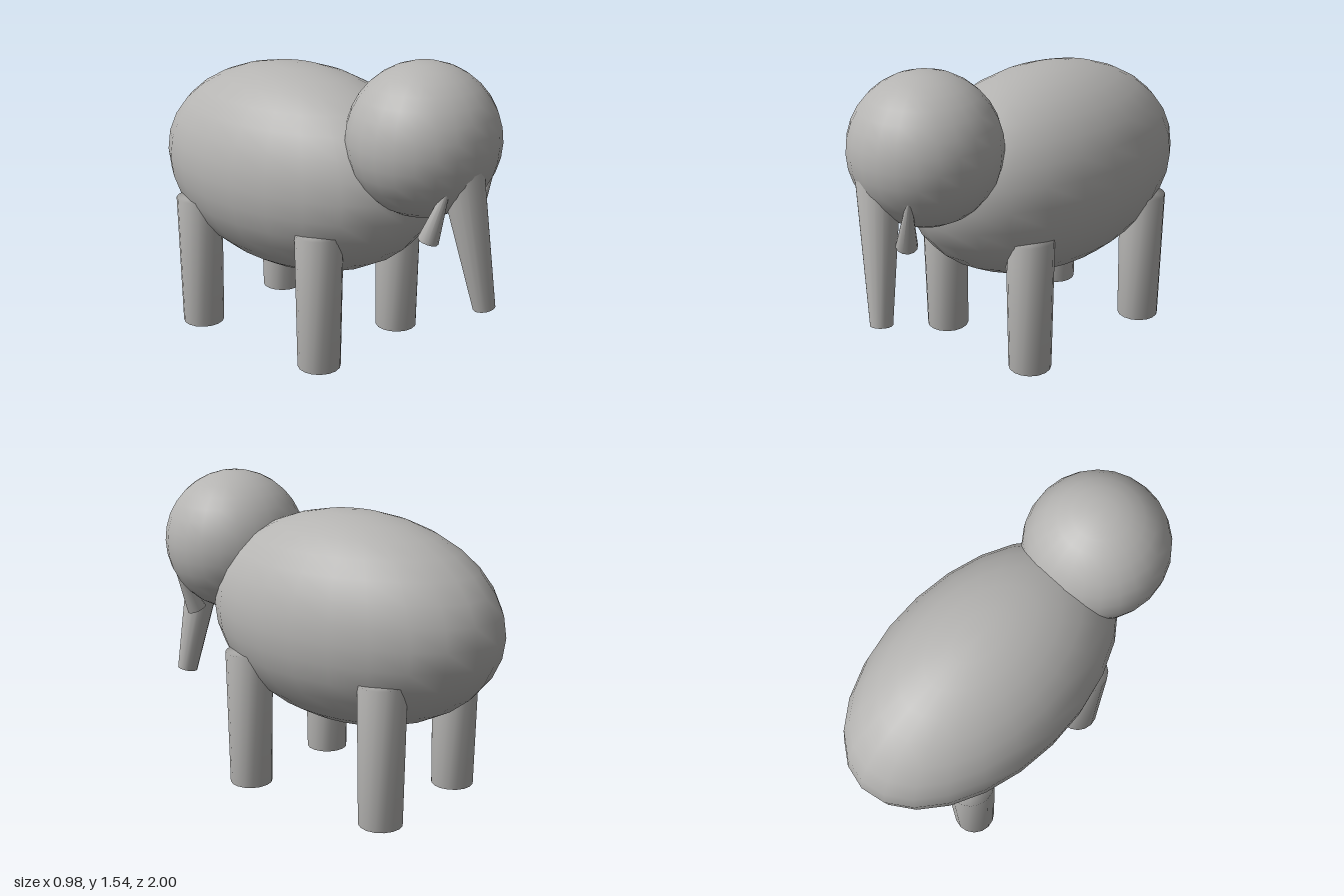
import * as THREE from 'three';
import { mergeVertices } from 'three/addons/utils/BufferGeometryUtils.js';

export function createModel() {
  const model = new THREE.Group();
  const grey = new THREE.MeshStandardMaterial({ color: 0xb5b4b2 });
  grey.name = 'grey skin';

  function add(name, geometry) {
    const mesh = new THREE.Mesh(geometry, grey);
    mesh.name = name;
    model.add(mesh);
    return mesh;
  }

  // Tapered limb from a base point to a top point, shaded softly over its rims
  function limb(name, base, top, baseRadius, topRadius, sides) {
    const a = new THREE.Vector3(...base);
    const b = new THREE.Vector3(...top);
    const axis = b.clone().sub(a);
    const tapered = new THREE.CylinderGeometry(topRadius, baseRadius, axis.length(), sides);
    tapered.deleteAttribute('normal');
    tapered.deleteAttribute('uv');
    const smooth = mergeVertices(tapered);
    smooth.computeVertexNormals();
    const mesh = add(name, smooth);
    mesh.position.copy(a).add(b).multiplyScalar(0.5);
    mesh.quaternion.setFromUnitVectors(new THREE.Vector3(0, 1, 0), axis.normalize());
  }

  // Egg-shaped body and round head
  const body = add('body', new THREE.SphereGeometry(1, 24, 16));
  body.scale.set(0.491, 0.531, 0.82);
  body.position.set(0, 0.885, -0.18);
  const head = add('head', new THREE.SphereGeometry(0.367, 24, 16));
  head.position.set(0, 1.173, 0.605);

  // Four straight legs, slightly wider at the top
  for (const [end, z] of [['front', 0.235], ['back', -0.588]]) {
    for (const [side, x] of [['Left', 0.314], ['Right', -0.314]]) {
      limb(`${end}${side}Leg`, [x, 0, z], [x, 0.7, z], 0.108, 0.119, 16);
    }
  }

  // Trunk, leaning forward and to one side as it hangs
  limb('trunk', [0.053, 0.398, 0.945], [-0.05, 1.12, 0.846], 0.054, 0.108, 16);

  // Tusks, with their points buried in the head
  limb('leftTusk', [0.097, 0.775, 0.813], [0.212, 1.09, 0.875], 0.052, 0.004, 12);
  limb('rightTusk', [-0.196, 0.77, 0.787], [-0.16, 1.09, 0.88], 0.05, 0.004, 12);

  return model;
}
